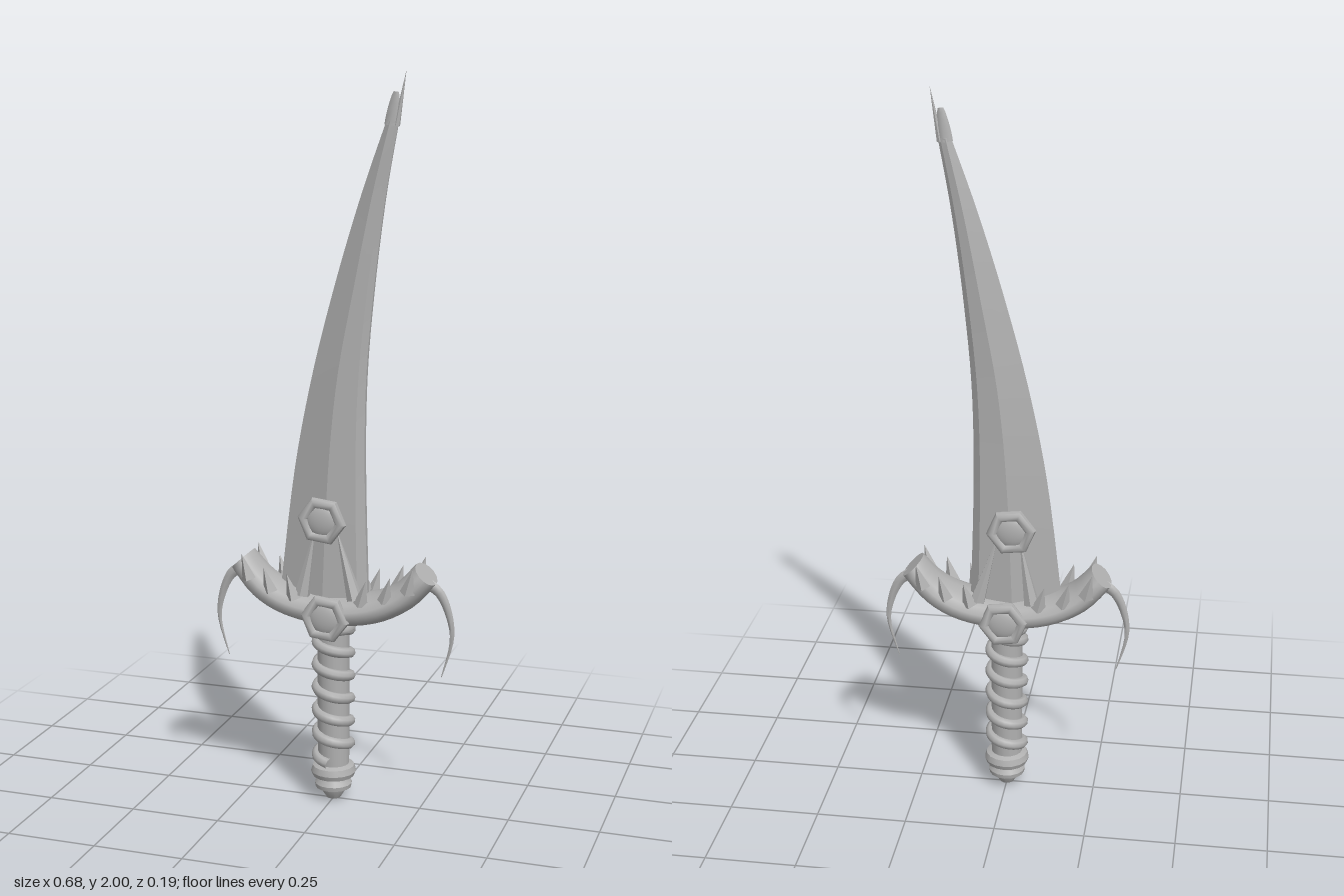
import * as THREE from 'three';
import { toCreasedNormals } from 'three/addons/utils/BufferGeometryUtils.js';

const steel = new THREE.MeshStandardMaterial({ color: 0xb0b0b0 });
steel.name = 'steel';

const v2 = (pts) => pts.map(([x, y]) => new THREE.Vector2(x, y));

// Skin over a list of rings (each counter-clockwise seen from the next), closed at both ends
function loft(rings, crease = 0.6) {
  const n = rings[0].length, pos = [], idx = [];
  const centre = (r) => r.reduce((s, p) => s.add(p), new THREE.Vector3()).divideScalar(n);
  rings.forEach((r) => r.forEach((p) => pos.push(p.x, p.y, p.z)));
  const last = (rings.length - 1) * n, c0 = rings.length * n, c1 = c0 + 1;
  [centre(rings[0]), centre(rings[rings.length - 1])].forEach((p) => pos.push(p.x, p.y, p.z));
  for (let j = 0; j < n; j++) {
    const k = (j + 1) % n;
    for (let i = 0; i < last; i += n) {
      idx.push(i + j, i + k, i + n + k, i + j, i + n + k, i + n + j);
    }
    idx.push(c0, k, j, c1, last + j, last + k);
  }
  const g = new THREE.BufferGeometry();
  g.setAttribute('position', new THREE.Float32BufferAttribute(pos, 3));
  g.setIndex(idx);
  g.computeVertexNormals();
  return toCreasedNormals(g, crease);
}

// Elliptical section swept along a flat curve in the xy plane
function sweep(points, steps, sides, halfWidth, halfDepth) {
  const curve = new THREE.SplineCurve(v2(points)), rings = [];
  for (let i = 0; i <= steps; i++) {
    const u = i / steps, p = curve.getPoint(u), t = curve.getTangent(u);
    const ring = [];
    for (let j = 0; j < sides; j++) {
      const a = (j / sides) * Math.PI * 2, w = Math.cos(a) * halfWidth(u);
      ring.push(new THREE.Vector3(p.x - t.y * w, p.y + t.x * w, Math.sin(a) * halfDepth(u)));
    }
    rings.push(ring);
  }
  return loft(rings, 0.9);
}

// Spike from base to tip
function spike(base, tip, radius, sides) {
  const a = new THREE.Vector3(...base), d = new THREE.Vector3(...tip).sub(a);
  const g = new THREE.ConeGeometry(radius, d.length(), sides, 1).toNonIndexed();
  g.computeVertexNormals();
  g.translate(0, d.length() / 2, 0);
  g.applyQuaternion(new THREE.Quaternion().setFromUnitVectors(new THREE.Vector3(0, 1, 0), d.normalize()));
  g.translate(a.x, a.y, a.z);
  return g;
}

export function createModel() {
  const model = new THREE.Group();
  model.name = 'dagger';
  const add = (name, geometry, parent = model) => {
    const m = new THREE.Mesh(geometry, steel);
    m.name = name;
    parent.add(m);
    return m;
  };

  // Curved blade: back edge, ridge and bevelled cutting edge
  const edge = (pts) => new THREE.SplineCurve(v2(pts));
  const back = edge([[-0.155, 0.58], [-0.112, 0.93], [-0.06, 1.2], [0.005, 1.45], [0.075, 1.68], [0.142, 1.87]]);
  const ridge = edge([[-0.02, 0.58], [-0.005, 0.93], [0.02, 1.2], [0.065, 1.45], [0.11, 1.68], [0.155, 1.87]]);
  const front = edge([[0.1, 0.58], [0.09, 0.93], [0.093, 1.2], [0.114, 1.45], [0.143, 1.68], [0.176, 1.87]]);
  const rings = [];
  for (let i = 0; i <= 24; i++) {
    const u = i / 24, b = back.getPoint(u), r = ridge.getPoint(u), f = front.getPoint(u);
    const t = 0.04 - 0.03 * Math.pow(u, 1.3), g = f.x - 0.024 * (1 - 0.7 * u);
    rings.push([
      [b.x, b.y, 0], [r.x, r.y, t], [g, f.y, 0.7 * t], [f.x, f.y, 0.2 * t],
      [f.x, f.y, -0.2 * t], [g, f.y, -0.7 * t], [r.x, r.y, -t],
    ].map((p) => new THREE.Vector3(...p)));
  }
  add('blade', loft(rings, 0.12));
  add('bladeTip', sweep([[0.157, 1.86], [0.162, 1.9], [0.168, 1.945]], 6, 8,
    (u) => 0.02 - 0.013 * u * u, (u) => 0.01 - 0.007 * u));
  add('bladePoint', spike([0.17, 1.86, 0], [0.195, 2, 0], 0.009, 6));

  // Crescent guard
  add('guard', sweep([[-0.262, 0.676], [-0.2, 0.61], [-0.115, 0.57], [0, 0.556],
    [0.115, 0.57], [0.2, 0.61], [0.262, 0.676]], 24, 14,
  (u) => 0.044 - 0.006 * Math.abs(2 * u - 1),
  (u) => 0.084 - 0.03 * Math.pow(Math.abs(2 * u - 1), 2)));

  // Hooks and spikes on both arms of the guard
  for (const s of [1, -1]) {
    add(s > 0 ? 'leftHook' : 'rightHook', sweep(
      [[0.255, 0.655], [0.3, 0.625], [0.328, 0.56], [0.334, 0.49], [0.307, 0.39]].map(([x, y]) => [s * x, y]),
      16, 8, (u) => 0.017 * (1 - u) + 0.001, (u) => 0.008 * (1 - u) + 0.001));
    for (const z of [1, -1]) {
      for (const [x, y] of [[0.095, 0.59], [0.162, 0.605], [0.225, 0.635]]) {
        add('guardSpike', spike([s * x, y, z * 0.058], [s * (x + 0.017), y + 0.07, z * 0.066], 0.021, 4));
      }
    }
  }

  // Framed gems and claws on both faces
  for (const z of [1, -1]) {
    for (const [name, x, y, depth] of [['guardGem', 0, 0.548, 0.076], ['bladeGem', -0.018, 0.812, 0.046]]) {
      const gem = new THREE.Group();
      gem.name = name;
      gem.position.set(x, y, z * depth);
      gem.rotation.z = -0.12;
      model.add(gem);
      add('gemFrame', toCreasedNormals(new THREE.TorusGeometry(0.053, 0.016, 10, 6), 0.8), gem);
      add('gemStone', new THREE.SphereGeometry(0.046, 20, 12).scale(1, 1, 0.36), gem);
    }
    add('claw', spike([-0.075, 0.6, z * 0.045], [-0.04, 0.79, z * 0.036], 0.022, 6));
    add('claw', spike([0.075, 0.6, z * 0.045], [0.02, 0.79, z * 0.036], 0.022, 6));
  }

  // Grip core, collar and pommel in one turned profile
  add('grip', toCreasedNormals(new THREE.LatheGeometry(v2([
    [0, 0.002], [0.02, 0.006], [0.034, 0.028], [0.036, 0.034], [0.05, 0.038], [0.052, 0.05], [0.045, 0.06],
    [0.042, 0.066], [0.058, 0.072], [0.063, 0.085], [0.058, 0.102], [0.044, 0.108], [0.044, 0.53],
  ]), 16), 0.6));

  // Cord wound down the grip
  const turns = 6, coil = [];
  for (let i = 0; i <= turns * 12; i++) {
    const a = (i / 12) * Math.PI * 2;
    coil.push(new THREE.Vector3(Math.sin(a) * 0.046, 0.515 - (i / 12) * 0.066, Math.cos(a) * 0.046));
  }
  add('gripCord', new THREE.TubeGeometry(new THREE.CatmullRomCurve3(coil), turns * 24, 0.015, 8));
  add('gripCollar', new THREE.TorusGeometry(0.046, 0.016, 8, 20).rotateX(Math.PI / 2).translate(0, 0.505, 0));

  return model;
}
